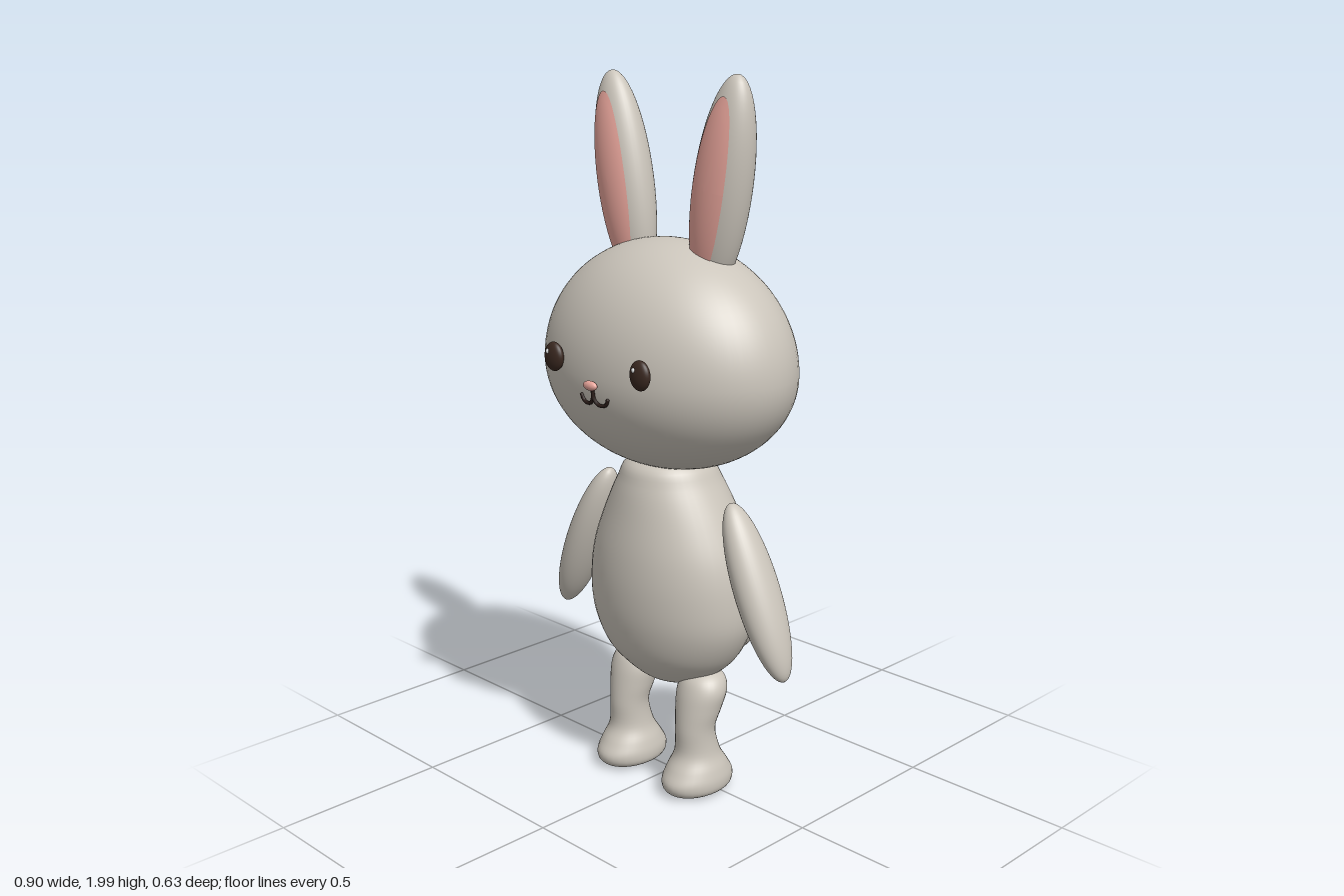
import * as THREE from 'three';
import { mergeVertices } from 'three/addons/utils/BufferGeometryUtils.js';

const mat = (name, color) => {
  const m = new THREE.MeshStandardMaterial({ color });
  m.name = name;
  return m;
};

// Smooth ellipse loft; each section is [y, centreX, centreZ, radiusX, radiusZ], bottom to top
function loft(sections, rows = 48, sides = 40) {
  const centre = new THREE.CatmullRomCurve3(sections.map(s => new THREE.Vector3(s[1], s[0], s[2])), false, 'catmullrom');
  const radius = new THREE.CatmullRomCurve3(sections.map(s => new THREE.Vector3(s[3], s[4], 0)), false, 'catmullrom');
  const pos = [], index = [];
  for (let i = 0; i <= rows; i++) {
    const c = centre.getPoint(i / rows), r = radius.getPoint(i / rows);
    for (let j = 0; j < sides; j++) {
      const a = (j / sides) * Math.PI * 2;
      pos.push(c.x + Math.max(r.x, 0) * Math.cos(a), c.y, c.z + Math.max(r.y, 0) * Math.sin(a));
      if (i === rows) continue;
      const p = i * sides + j, q = i * sides + (j + 1) % sides;
      index.push(p, p + sides, q, q, p + sides, q + sides);
    }
  }
  let g = new THREE.BufferGeometry();
  g.setAttribute('position', new THREE.Float32BufferAttribute(pos, 3));
  g.setIndex(index);
  g = mergeVertices(g, 1e-5);
  g.computeVertexNormals();
  return g;
}

const ellipsoid = (rx, ry, rz, seg = 40) => new THREE.SphereGeometry(1, seg, Math.round(seg * 0.7)).scale(rx, ry, rz);

export function createModel() {
  const model = new THREE.Group();
  model.name = 'rabbit';
  const fur = mat('grey fur', 0xcbc5bb);
  const pink = mat('pink', 0xe8a59b);
  const brown = mat('dark brown eye', 0x3a2820);
  const dark = mat('mouth line', 0x2a1c18);
  const white = mat('eye highlight', 0xffffff);

  const add = (name, geo, material, x = 0, y = 0, z = 0, tilt = 0, parent = model) => {
    const m = new THREE.Mesh(geo, material);
    m.name = name;
    m.position.set(x, y, z);
    m.rotation.z = tilt;
    parent.add(m);
    return m;
  };

  // Head: wide egg, flatter below than above
  const headGeo = new THREE.SphereGeometry(1, 64, 44);
  const hp = headGeo.attributes.position;
  for (let i = 0; i < hp.count; i++) {
    const y = hp.getY(i);
    hp.setXYZ(i, hp.getX(i) * 0.405, y * (y > 0 ? 0.345 : 0.285), hp.getZ(i) * 0.277);
  }
  headGeo.computeVertexNormals();
  add('head', headGeo, fur, 0, 1.225, 0.016);

  // Pear-shaped body
  add('body', loft([
    [0.295, 0, 0, 0, 0],
    [0.31, 0, 0, 0.085, 0.065],
    [0.35, 0, 0, 0.16, 0.115],
    [0.41, 0, 0, 0.22, 0.16],
    [0.5, 0, 0, 0.262, 0.186],
    [0.6, 0, 0, 0.267, 0.195],
    [0.7, 0, 0, 0.25, 0.191],
    [0.8, 0, 0.003, 0.208, 0.173],
    [0.9, 0, 0.01, 0.152, 0.145],
    [0.96, 0, 0.015, 0.11, 0.11],
    [1.0, 0, 0.015, 0, 0],
  ], 60, 48), fur);

  add('tail', ellipsoid(0.1, 0.1, 0.1), fur, 0, 0.415, -0.22);

  // Inner ear: oval patch wrapped onto the front of the ear
  const ear = { x: 0.086, y: 0.295, z: 0.068 };
  const innerGeo = new THREE.RingGeometry(0, 1, 40, 10).scale(0.055, 0.24, 1);
  const ip = innerGeo.attributes.position;
  for (let i = 0; i < ip.count; i++) {
    const u = ip.getX(i) / ear.x, v = ip.getY(i) / ear.y;
    ip.setZ(i, ear.z * Math.sqrt(Math.max(0, 1 - u * u - v * v)) + 0.003);
  }
  innerGeo.computeVertexNormals();

  for (const s of [1, -1]) {
    const side = s > 0 ? 'left' : 'right';

    const earGroup = new THREE.Group();
    earGroup.name = side + 'Ear';
    earGroup.position.set(s * 0.181, 1.71, 0);
    earGroup.rotation.z = -s * 0.18;
    model.add(earGroup);
    add(side + 'OuterEar', ellipsoid(ear.x, ear.y, ear.z), fur, 0, 0, 0, 0, earGroup);
    add(side + 'InnerEar', innerGeo, pink, 0, 0, 0, 0, earGroup);

    add(side + 'Arm', ellipsoid(0.056, 0.25, 0.069), fur, s * 0.338, 0.65, 0.017, s * 0.415);

    // Leg with bent knee and rounded foot
    const cx = s * 0.135;
    add(side + 'Leg', loft([
      [0.006, cx, 0.035, 0, 0],
      [0.008, cx, 0.035, 0.05, 0.075],
      [0.022, cx, 0.035, 0.08, 0.108],
      [0.05, cx, 0.036, 0.086, 0.115],
      [0.085, cx, 0.036, 0.078, 0.095],
      [0.13, cx, 0.037, 0.061, 0.068],
      [0.2, cx, 0.045, 0.056, 0.058],
      [0.26, cx, 0.032, 0.067, 0.064],
      [0.31, cx, 0.018, 0.074, 0.067],
      [0.345, cx, 0.01, 0.06, 0.058],
      [0.365, cx, 0.008, 0.03, 0.03],
      [0.369, cx, 0.008, 0, 0],
    ], 55, 32), fur);

    add(side + 'Eye', ellipsoid(0.034, 0.04, 0.018, 28), brown, s * 0.166, 1.26, 0.283);
    add(side + 'EyeHighlight', ellipsoid(0.006, 0.007, 0.004, 12), white, s * 0.166 - 0.009, 1.275, 0.299);
  }

  add('nose', ellipsoid(0.025, 0.013, 0.011, 24), pink, 0, 1.21, 0.304);

  // Mouth: two small hooks meeting below the nose
  for (const s of [1, -1]) {
    const path = new THREE.CatmullRomCurve3([
      [0, 1.2, 0.296], [0.002, 1.175, 0.294], [0.012, 1.161, 0.291],
      [0.028, 1.157, 0.289], [0.043, 1.163, 0.288], [0.05, 1.176, 0.289],
    ].map(([x, y, z]) => new THREE.Vector3(s * x, y, z)));
    const name = s > 0 ? 'leftMouth' : 'rightMouth';
    add(name, new THREE.TubeGeometry(path, 24, 0.005, 8), dark);
    add(name + 'End', ellipsoid(0.005, 0.005, 0.005, 10), dark, s * 0.05, 1.176, 0.289);
  }

  return model;
}
